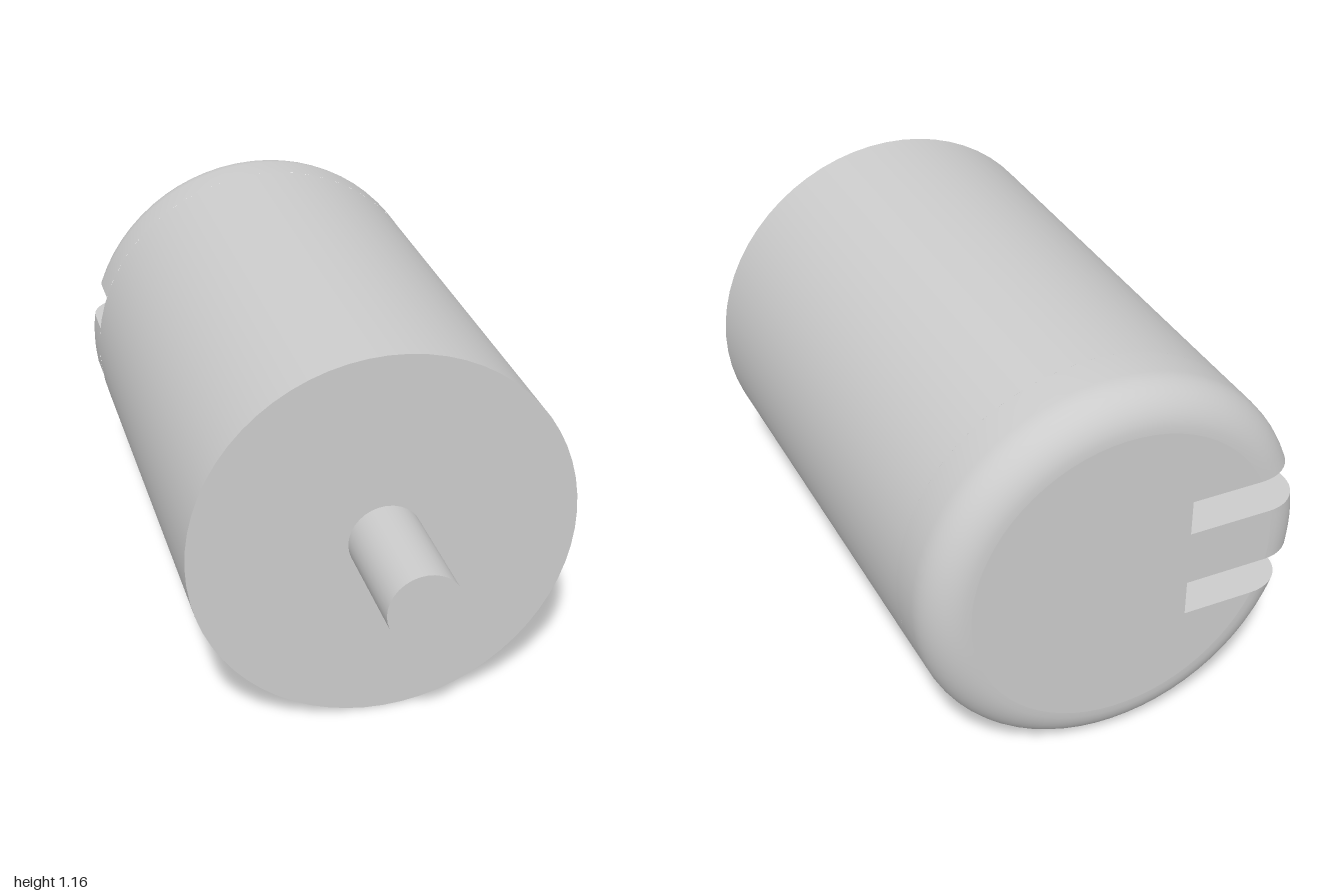
import * as THREE from 'three';
import { toCreasedNormals } from 'three/addons/utils/BufferGeometryUtils.js';

const R = 0.58, FILLET = 0.12;
const FRONT = 0.63, SLOT_FLOOR = -0.78, BACK = -1, SHAFT_TIP = 1;
const SLOT_IN = 0.085, SLOT_OUT = 0.195, SLOT_X = -0.2;

// Cross-section of radius r with two slots cut in from the -x side, counter-clockwise
function slottedOutline(r) {
  const pts = [];
  const arc = (from, to, n) => {
    for (let i = 0; i <= n; i++) {
      const a = from + (to - from) * i / n;
      pts.push(new THREE.Vector2(r * Math.cos(a), r * Math.sin(a)));
    }
  };
  const outer = Math.asin(SLOT_OUT / r), inner = Math.asin(SLOT_IN / r);
  arc(outer - Math.PI, Math.PI - outer, 60);
  pts.push(new THREE.Vector2(SLOT_X, SLOT_OUT), new THREE.Vector2(SLOT_X, SLOT_IN));
  arc(Math.PI - inner, Math.PI + inner, 6);
  pts.push(new THREE.Vector2(SLOT_X, -SLOT_IN), new THREE.Vector2(SLOT_X, -SLOT_OUT));
  return pts;
}

// Loft the slotted section backwards and round it over at the end
function slottedEndGeometry() {
  const sections = [[R, SLOT_FLOOR]];
  for (let i = 0; i <= 10; i++) {
    const t = i / 10 * Math.PI / 2;
    sections.push([R - FILLET + FILLET * Math.cos(t), BACK + FILLET - FILLET * Math.sin(t)]);
  }
  const positions = [], index = [];
  let n = 0;
  sections.forEach(([r, z], i) => {
    const outline = slottedOutline(r);
    n = outline.length;
    outline.forEach((p, j) => {
      positions.push(p.x, p.y, z);
      if (i === 0) return;
      const k = (j + 1) % n, prev = (i - 1) * n, cur = i * n;
      index.push(prev + j, cur + j, prev + k, prev + k, cur + j, cur + k);
    });
  });
  const geo = new THREE.BufferGeometry();
  geo.setAttribute('position', new THREE.Float32BufferAttribute(positions, 3));
  geo.setIndex(index);
  return toCreasedNormals(geo, 0.6);
}

export function createModel() {
  const group = new THREE.Group();
  const material = new THREE.MeshStandardMaterial({ color: 0xcccccc });
  const add = (name, geometry) => {
    const mesh = new THREE.Mesh(geometry, material);
    mesh.name = name;
    mesh.position.y = R;
    group.add(mesh);
  };
  const rod = (r, z0, z1, sides) =>
    new THREE.CylinderGeometry(r, r, z1 - z0, sides).rotateX(Math.PI / 2).translate(0, 0, (z0 + z1) / 2);

  // Main barrel; its rear cap forms the slot floors
  add('barrel', rod(R, SLOT_FLOOR, FRONT, 64));
  add('shaft', rod(0.11, FRONT, SHAFT_TIP, 32));

  // Rounded rear end with two slots
  add('slottedEnd', slottedEndGeometry());

  // Flat rear face, drawn mirrored and turned to face backwards
  const face = slottedOutline(R - FILLET).map(p => new THREE.Vector2(-p.x, p.y));
  add('rearFace', new THREE.ShapeGeometry(new THREE.Shape(face)).rotateY(Math.PI).translate(0, 0, BACK));

  return group;
}
